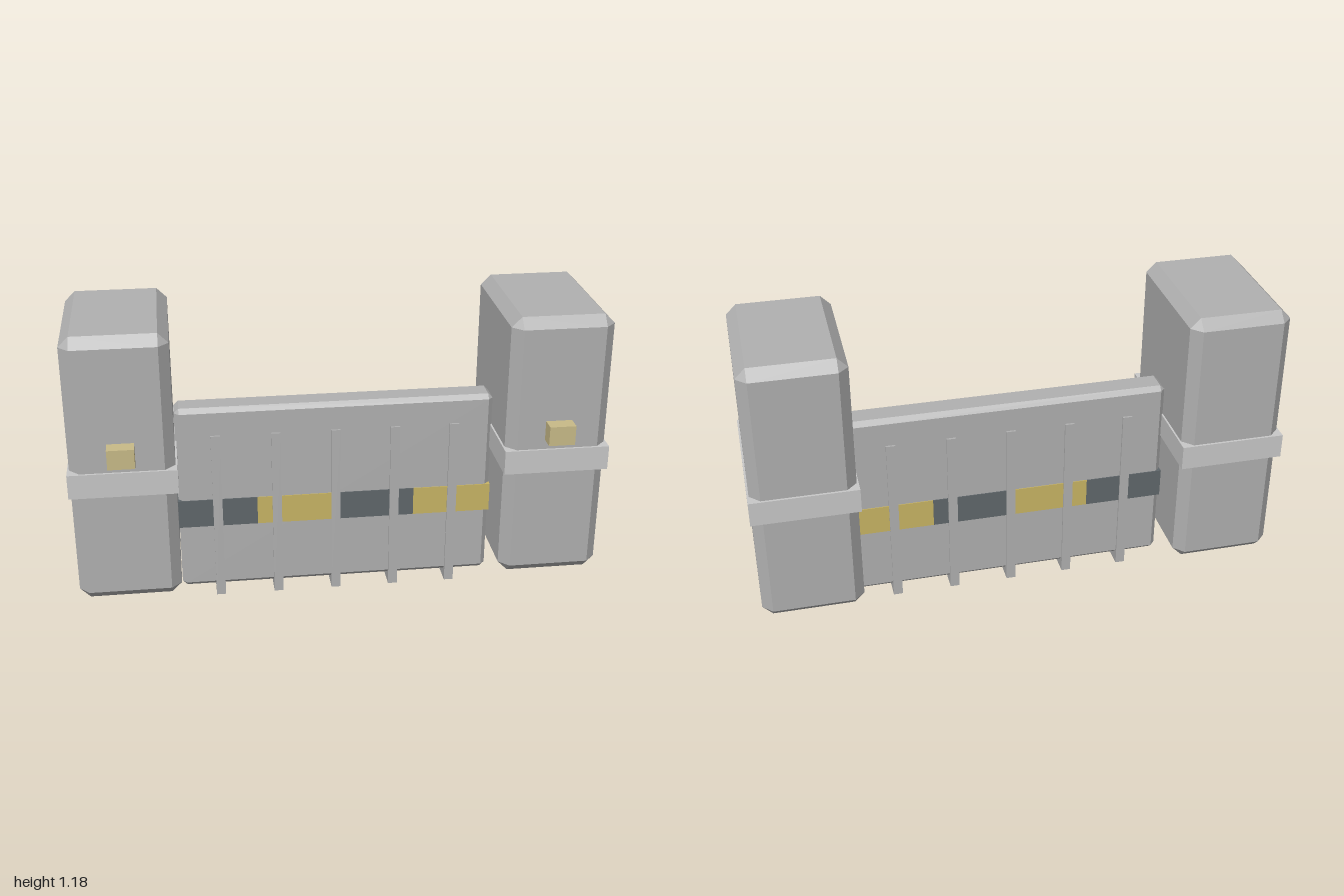
import * as THREE from 'three';
import { ConvexGeometry } from 'three/addons/geometries/ConvexGeometry.js';

const material = (name, color) => {
  const m = new THREE.MeshStandardMaterial({ color });
  m.name = name;
  return m;
};

// Box with every edge cut off flat and a triangle at each corner
function chamferBox(w, h, d, bevel) {
  const points = [];
  for (const sx of [-1, 1]) for (const sy of [-1, 1]) for (const sz of [-1, 1]) {
    const [x, y, z] = [w / 2, h / 2, d / 2];
    const b = bevel;
    points.push(
      new THREE.Vector3(sx * x, sy * (y - b), sz * (z - b)),
      new THREE.Vector3(sx * (x - b), sy * y, sz * (z - b)),
      new THREE.Vector3(sx * (x - b), sy * (y - b), sz * z)
    );
  }
  return new ConvexGeometry(points);
}

export function createModel() {
  const concrete = material('concrete grey', 0xb0b0b0);
  const trim = material('light grey trim', 0xc8c8c8);
  const yellow = material('hazard yellow', 0xc8b464);
  const dark = material('hazard dark grey', 0x60676b);
  const lampColor = material('lamp tan', 0xc8ba88);

  const model = new THREE.Group();
  model.name = 'barrier';
  const midZ = -0.024;

  const add = (parent, name, geometry, mat, x, y, z) => {
    const mesh = new THREE.Mesh(geometry, mat);
    mesh.name = name;
    mesh.position.set(x, y, z);
    parent.add(mesh);
  };

  // End towers with a belt and a front lamp
  for (const [side, s] of [['left', 1], ['right', -1]]) {
    const tower = new THREE.Group();
    tower.name = side + 'Tower';
    tower.position.x = s * 0.802;
    add(tower, 'towerBody', chamferBox(0.382, 1.042, 0.57, 0.038), concrete, 0, 0.659, midZ);
    add(tower, 'towerBelt', new THREE.BoxGeometry(0.396, 0.094, 0.588), trim, 0, 0.623, midZ);
    add(tower, 'lamp', new THREE.BoxGeometry(0.098, 0.075, 0.098), lampColor, 0, 0.745, 0.269);
    model.add(tower);
  }

  // Wall panel between the towers
  add(model, 'wallPanel', chamferBox(1.218, 0.76, 0.114, 0.018), concrete, 0, 0.42, midZ);

  // Upright ribs wrapping the wall and reaching the ground
  const rib = new THREE.BoxGeometry(0.036, 0.69, 0.131);
  for (let i = -2; i <= 2; i++) {
    add(model, 'rib', rib, concrete, i * 0.2295, 0.345, midZ);
  }

  // Alternating hazard band, slightly proud of both wall faces
  const segment = new THREE.BoxGeometry(0.306, 0.114, 0.121);
  for (let i = 0; i < 4; i++) {
    add(model, 'hazardStripe', segment, i % 2 ? yellow : dark, (i - 1.5) * 0.306, 0.364, midZ);
  }

  return model;
}
